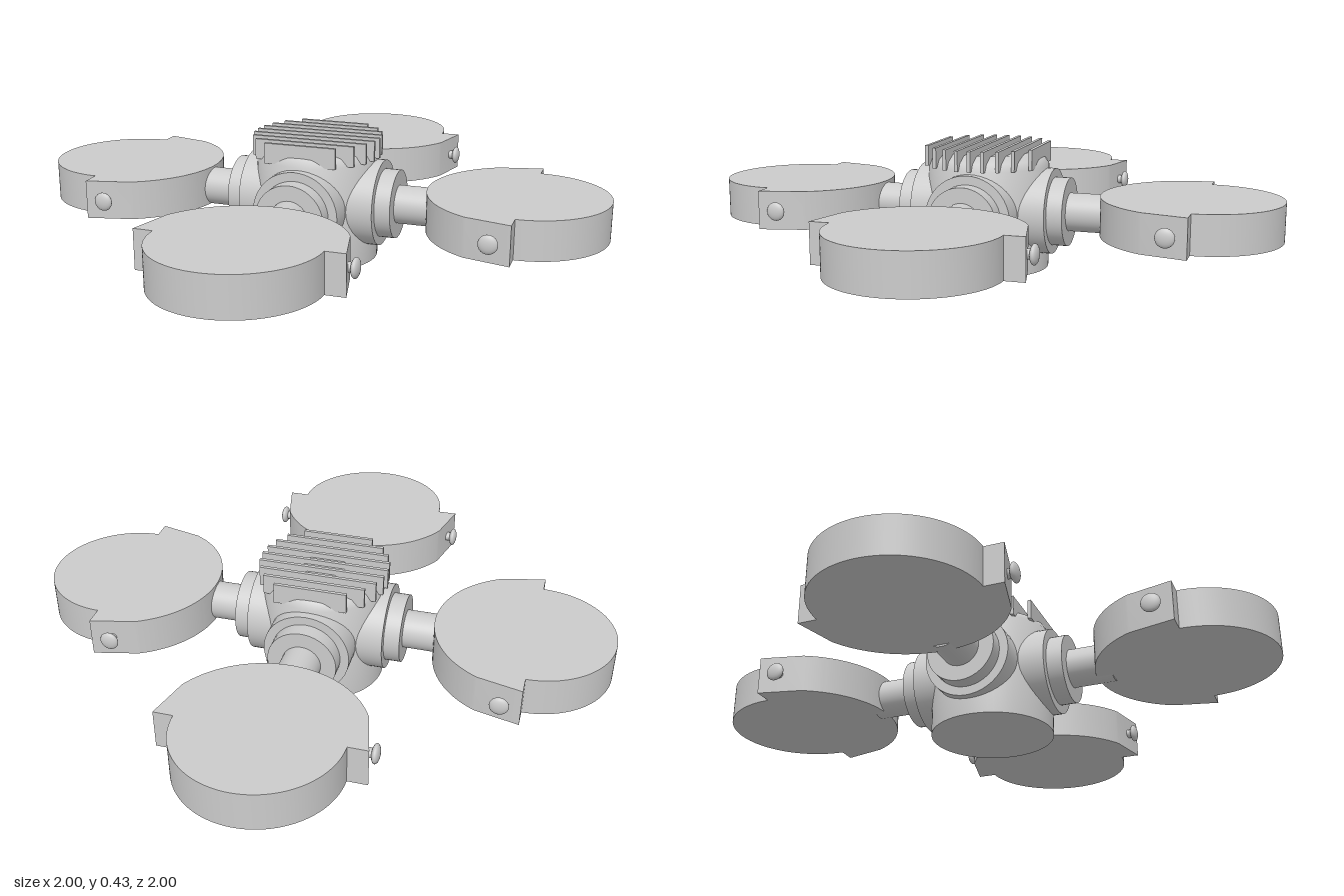
import * as THREE from 'three';
import { toCreasedNormals } from 'three/addons/utils/BufferGeometryUtils.js';

const AXIS_Y = 0.208; // height of the arm axes
const HUB_Z = 0.01;

function createModel() {
  const model = new THREE.Group();
  const mat = new THREE.MeshStandardMaterial({ color: 0xcccccc });
  const add = (parent, name, geo, x = 0, y = 0, z = 0) => {
    const mesh = new THREE.Mesh(geo, mat);
    mesh.name = name;
    mesh.position.set(x, y, z);
    parent.add(mesh);
    return mesh;
  };

  // Central hub with a sloped shoulder under the cooling fins
  const profile = [[0, 0], [0.21, 0], [0.21, 0.36], [0.195, 0.385], [0.155, 0.405], [0.08, 0.405], [0.07, 0.412], [0, 0.412]]
    .map(([r, y]) => new THREE.Vector2(r, y));
  const hub = toCreasedNormals(new THREE.LatheGeometry(profile, 64), 0.6);
  add(model, 'hub', hub, 0, 0, HUB_Z);

  // Parallel fins, each trimmed to the round outline of the hub
  const fins = new THREE.Group();
  fins.name = 'coolingFins';
  model.add(fins);
  for (let i = -4; i <= 4; i++) {
    const z = i * 0.046;
    const half = Math.sqrt(0.222 ** 2 - z * z);
    add(fins, 'fin', new THREE.BoxGeometry(half * 2, 0.07, 0.012), 0, 0.395, HUB_Z + z);
  }

  // Pod outline: small outer half-disc, wider inner disc ending in two ears
  const outline = new THREE.Shape();
  const a = Math.atan2(0.3, -0.15);
  outline.absarc(0, 0, 0.27, -Math.PI / 2, Math.PI / 2, false);
  outline.lineTo(0, 0.336);
  outline.absarc(0, 0, 0.335, a, 2 * Math.PI - a, false);
  outline.lineTo(0, -0.336);
  outline.closePath();
  const podGeo = toCreasedNormals(
    new THREE.ExtrudeGeometry(outline, { depth: 0.133, bevelEnabled: false, curveSegments: 40 }).rotateX(-Math.PI / 2), 0.3);

  // Cylinder lying along local x
  const rod = (r, x0, x1) =>
    new THREE.CylinderGeometry(r, r, x1 - x0, 48).rotateZ(-Math.PI / 2).translate((x0 + x1) / 2, 0, 0);
  const boltGeo = new THREE.SphereGeometry(0.032, 24, 12).scale(1, 1, 0.42);

  // Four identical arms around the hub
  for (let i = 0; i < 4; i++) {
    const arm = new THREE.Group();
    arm.name = 'arm' + (i + 1);
    arm.rotation.y = i * Math.PI / 2;
    model.add(arm);

    const joint = new THREE.Group();
    joint.name = 'joint';
    // Shift the joint by the hub offset, expressed in the rotated arm frame
    joint.position.set(0, AXIS_Y - 0.004, HUB_Z).applyAxisAngle(new THREE.Vector3(0, 1, 0), -arm.rotation.y);
    arm.add(joint);
    add(joint, 'socket', rod(0.148, 0.02, 0.238));
    add(joint, 'collar', rod(0.118, 0.2, 0.292));
    add(joint, 'shaft', rod(0.066, 0.25, 0.44));

    add(arm, 'pod', podGeo, 0.73, 0.145, 0);
    for (const s of [-1, 1]) {
      add(arm, 'bolt', boltGeo, 0.662, 0.212, s * 0.342);
      add(arm, 'boltShank', new THREE.CylinderGeometry(0.016, 0.016, 0.04, 20).rotateX(Math.PI / 2), 0.662, 0.212, s * 0.322);
    }
  }
  return model;
}

export { createModel };
